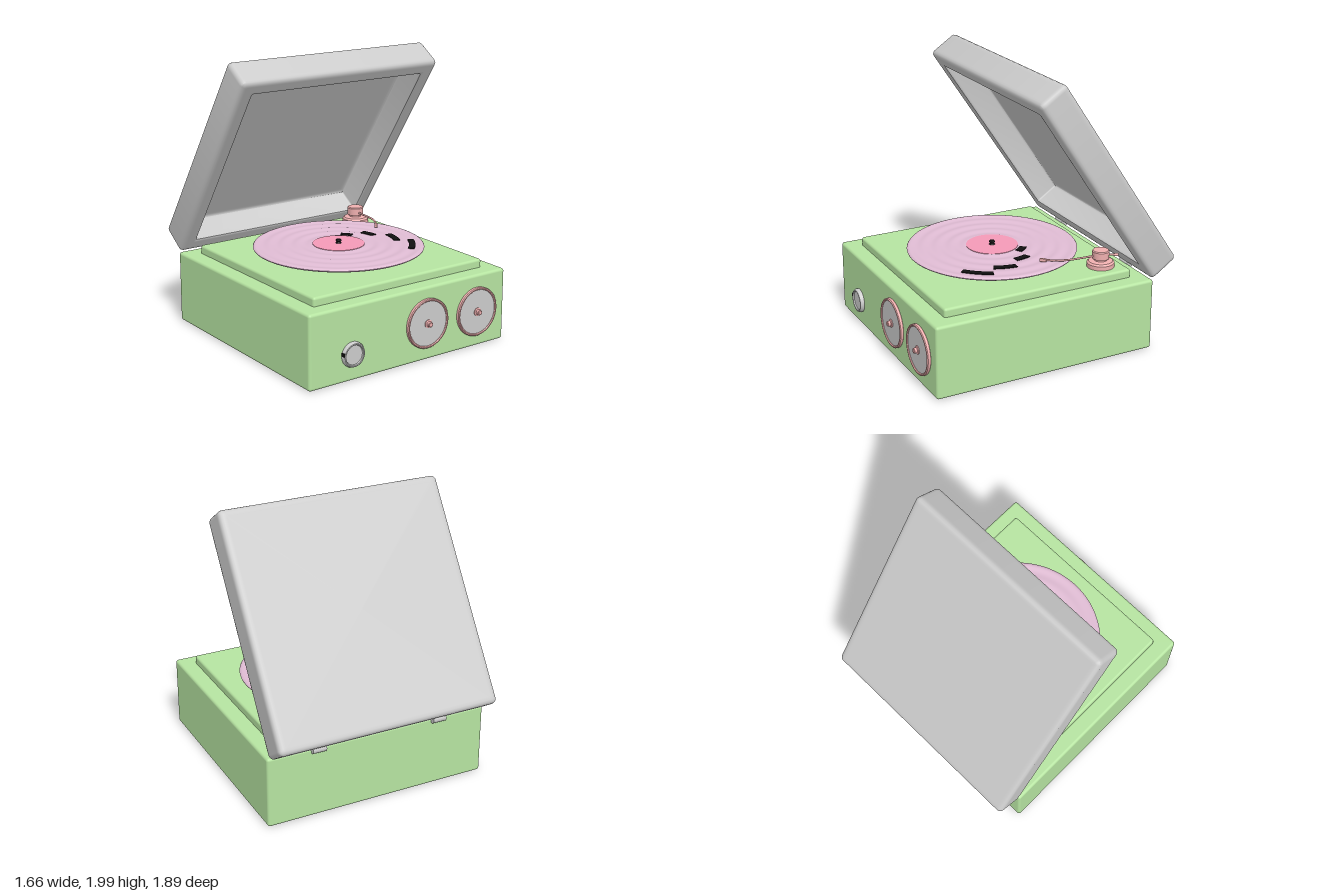
import * as THREE from 'three';
import { toCreasedNormals } from 'three/addons/utils/BufferGeometryUtils.js';
import { RoundedBoxGeometry } from 'three/addons/geometries/RoundedBoxGeometry.js';

const paint = (color) => new THREE.MeshStandardMaterial({ color });
const grey = paint(0xcccccc), green = paint(0xb6e4a1), pink = paint(0xf0b0b0);
const vinyl = paint(0xe0bcd4), rose = paint(0xf49ab8), black = paint(0x111111);

function add(parent, name, geometry, material, x = 0, y = 0, z = 0) {
  const mesh = new THREE.Mesh(geometry, material);
  mesh.name = name;
  mesh.position.set(x, y, z);
  parent.add(mesh);
  return mesh;
}

// Turned part: profile of [radius, height] from bottom to top
const turned = (profile, sides = 64) => toCreasedNormals(
  new THREE.LatheGeometry(profile.map(([r, h]) => new THREE.Vector2(r, h)), sides), 0.6);

// Hollow tray: rounded square outlines, each [inset, depth], joined in order
function tray(half, corner, profile) {
  const steps = 4, n = 4 * (steps + 1), positions = [], index = [];
  for (const [inset, z] of profile) {
    const h = half - inset;
    const r = Math.min(h, Math.max(corner - inset, 0.012));
    for (let q = 0; q < 4; q++) {
      const sx = q === 0 || q === 3 ? 1 : -1, sy = q < 2 ? 1 : -1;
      for (let s = 0; s <= steps; s++) {
        const a = (q + s / steps) * Math.PI / 2;
        positions.push(sx * (h - r) + r * Math.cos(a), sy * (h - r) + r * Math.sin(a), z);
      }
    }
  }
  for (let k = 0; k < profile.length - 1; k++) {
    for (let i = 0; i < n; i++) {
      const a = k * n + i, b = k * n + (i + 1) % n;
      index.push(a, b, b + n, a, b + n, a + n);
    }
  }
  const geometry = new THREE.BufferGeometry();
  geometry.setAttribute('position', new THREE.Float32BufferAttribute(positions, 3));
  geometry.setIndex(index);
  return toCreasedNormals(geometry, 0.6);
}

// Flat arc strip lying on the record, angles in degrees from +x towards +z
function arcStrip(inner, outer, from, to) {
  const a = THREE.MathUtils.degToRad(from), b = THREE.MathUtils.degToRad(to);
  const shape = new THREE.Shape();
  shape.absarc(0, 0, outer, a, b, false);
  shape.absarc(0, 0, inner, b, a, true);
  const geometry = new THREE.ExtrudeGeometry(shape, { depth: 0.006, bevelEnabled: false, curveSegments: 12 });
  return geometry.rotateX(Math.PI / 2);
}

function createRecord() {
  const record = new THREE.Group();
  record.name = 'record';
  record.position.set(0, 0.58, 0.07);
  add(record, 'platter', turned([[0, 0], [0.43, 0], [0.45, 0.012], [0.48, 0.03], [0.48, 0.042], [0, 0.042]]), black);

  // Disc with soft ring waves
  const profile = [[0, 0.04], [0.595, 0.04], [0.606, 0.046], [0.608, 0.052], [0.602, 0.059]];
  for (let r = 0.59; r > 0.18; r -= 0.0125) {
    profile.push([r, 0.06 + 0.003 * Math.cos((r - 0.19) * Math.PI * 2 / 0.1)]);
  }
  profile.push([0.17, 0.062], [0, 0.062]);
  add(record, 'disc', turned(profile, 80), vinyl);
  add(record, 'label', new THREE.CylinderGeometry(0.185, 0.185, 0.008, 64), rose, 0, 0.062);
  add(record, 'spindle', turned([[0, 0.06], [0.026, 0.06], [0.014, 0.075], [0.022, 0.085], [0.018, 0.093], [0, 0.095]], 24), black);

  // Four stepped marks
  const marks = [[0.2, 0.25, -50, -29], [0.3, 0.35, -22, -3], [0.4, 0.448, 4, 26], [0.5, 0.545, 26, 50]];
  for (const m of marks) add(record, 'mark', arcStrip(...m), black, 0, 0.067);
  return record;
}

function createToneArm() {
  const arm = new THREE.Group();
  arm.name = 'toneArm';
  arm.position.set(0.565, 0.58, -0.49);
  add(arm, 'pivotBase', turned([[0, 0], [0.097, 0], [0.097, 0.03], [0.085, 0.042], [0.06, 0.046], [0, 0.046]], 40), pink);
  add(arm, 'pivotPost', turned([[0, 0.04], [0.045, 0.04], [0.045, 0.055], [0.059, 0.06], [0.06, 0.113], [0.054, 0.12], [0, 0.12]], 40), pink);

  const path = new THREE.CatmullRomCurve3([
    [0.045, -0.1], [0, 0], [-0.012, 0.12], [-0.025, 0.24], [-0.06, 0.33], [-0.1, 0.385],
  ].map(([x, z]) => new THREE.Vector3(x, 0.081, z)));
  add(arm, 'armTube', new THREE.TubeGeometry(path, 40, 0.007, 10), pink);

  const head = add(arm, 'headShell', new RoundedBoxGeometry(0.024, 0.022, 0.05, 2, 0.006), pink, -0.108, 0.08, 0.4);
  head.rotation.y = -0.65;
  const weight = add(arm, 'counterweight', new THREE.CylinderGeometry(0.011, 0.011, 0.03, 16), pink, 0.045, 0.081, -0.1);
  weight.rotation.set(Math.PI / 2, 0, 0.4);
  return arm;
}

function createDial(x, y) {
  const dial = new THREE.Group();
  dial.name = 'dial';
  dial.position.set(x, y, 0.895);
  dial.rotation.x = Math.PI / 2;
  add(dial, 'dialRim', turned([[0.16, 0], [0.168, 0], [0.175, 0.007], [0.175, 0.025], [0.17, 0.031], [0.163, 0.031], [0.158, 0.025], [0.158, 0]]), pink);
  add(dial, 'dialFace', new THREE.CylinderGeometry(0.16, 0.16, 0.022, 64), grey, 0, 0.011);
  add(dial, 'dialNub', turned([[0, 0.02], [0.029, 0.02], [0.029, 0.028], [0.019, 0.032], [0.019, 0.05], [0.014, 0.054], [0, 0.054]], 24), pink);
  return dial;
}

function createKnob() {
  const knob = new THREE.Group();
  knob.name = 'knob';
  knob.position.set(-0.49, 0.185, 0.895);
  knob.rotation.x = Math.PI / 2;
  add(knob, 'knobBody', turned([[0, 0], [0.087, 0], [0.087, 0.02], [0.08, 0.034], [0.074, 0.036], [0.069, 0.033], [0.066, 0.024], [0, 0.024]], 48), grey);
  add(knob, 'knobPointer', new THREE.BoxGeometry(0.018, 0.03, 0.024), black, -0.078, 0.018, -0.016);
  return knob;
}

export function createModel() {
  const model = new THREE.Group();
  model.name = 'recordPlayer';

  // Case and raised deck
  add(model, 'case', new RoundedBoxGeometry(1.66, 0.52, 1.66, 4, 0.02), green, 0, 0.26, 0.07);
  add(model, 'deck', new RoundedBoxGeometry(1.43, 0.16, 1.43, 4, 0.018), green, 0, 0.5, 0.07);

  // Open lid, hollow side facing forward and down
  const lid = add(model, 'lid', tray(0.822, 0.035, [
    [0.822, -0.115], [0.05, -0.115], [0.03, -0.115], [0.015, -0.111], [0.004, -0.1], [0, -0.085], [0, -0.07],
    [0, 0.07], [0, 0.085], [0.004, 0.1], [0.015, 0.111], [0.03, 0.115], [0.04, 0.115], [0.088, 0.115],
    [0.098, 0.115], [0.107, 0.11], [0.11, 0.1], [0.11, 0.09], [0.11, -0.05], [0.11, -0.06], [0.114, -0.072],
    [0.122, -0.078], [0.135, -0.08], [0.15, -0.08], [0.822, -0.08],
  ]), grey, 0, 1.26, -0.402);
  lid.rotation.x = 0.591;

  // Hinge barrels
  for (const side of [-1, 1]) {
    const hinge = add(model, 'hinge', new THREE.CylinderGeometry(0.026, 0.026, 0.1, 20), grey, side * 0.46, 0.515, -0.77);
    hinge.rotation.z = Math.PI / 2;
  }

  model.add(createRecord(), createToneArm(), createDial(0.13, 0.265), createDial(0.57, 0.257), createKnob());
  return model;
}
